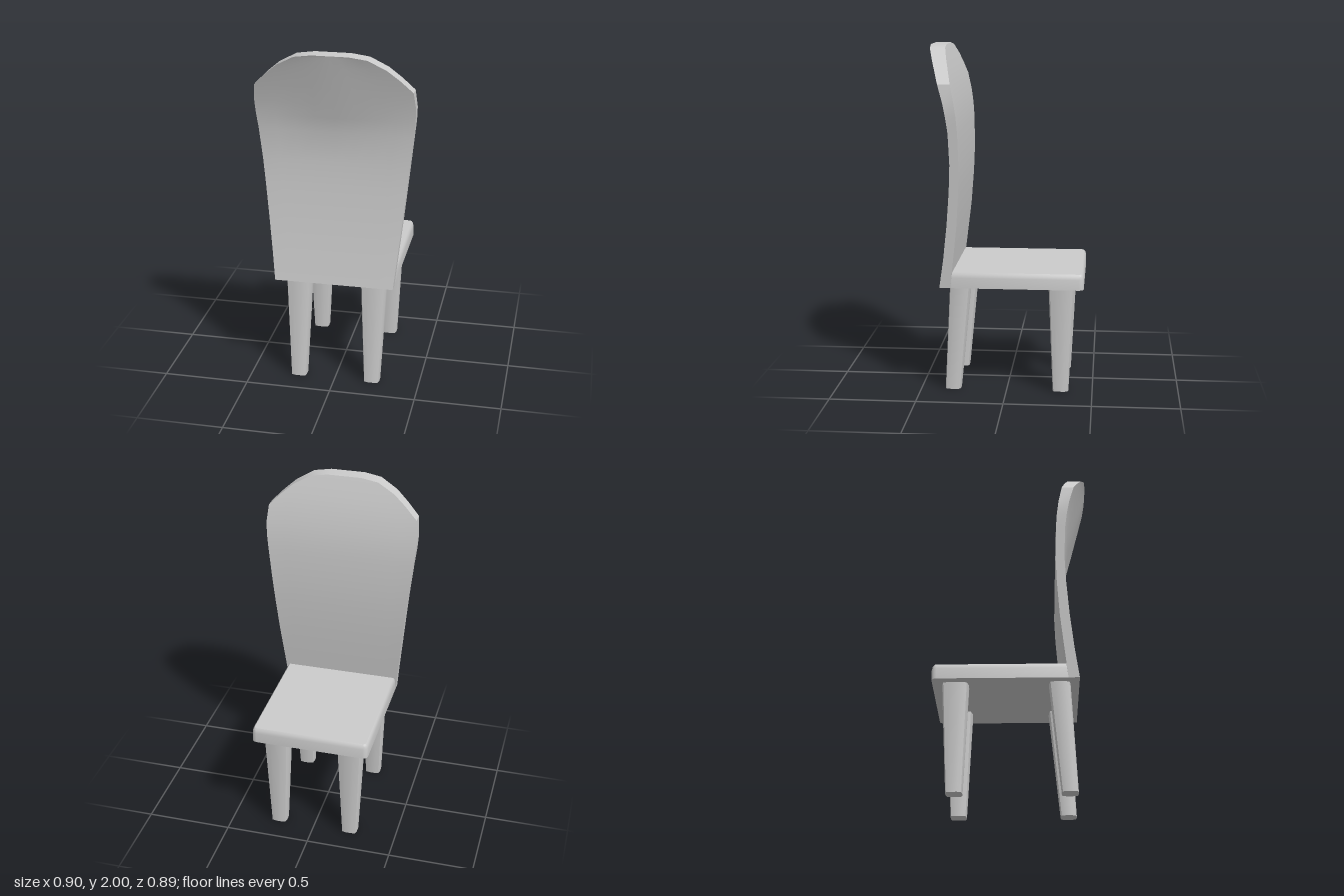
import * as THREE from 'three';
import { toCreasedNormals } from 'three/addons/utils/BufferGeometryUtils.js';

const material = new THREE.MeshStandardMaterial({ color: 0xcccccc });

// Skin a stack of rings [y, [[x, z], ...]] (listed bottom to top) and cap both ends.
function loft(name, rings, crease = 0.6) {
  const pos = [], idx = [], n = rings[0][1].length;
  for (const [y, pts] of rings) for (const [x, z] of pts) pos.push(x, y, z);
  for (let r = 0; r < rings.length - 1; r++) {
    for (let i = 0; i < n; i++) {
      const a = r * n + i, b = r * n + (i + 1) % n;
      idx.push(a, a + n, b, b, a + n, b + n);
    }
  }
  for (const r of [0, rings.length - 1]) {
    const [y, pts] = rings[r], c = pos.length / 3;
    const mean = k => pts.reduce((s, p) => s + p[k], 0) / n;
    pos.push(mean(0), y, mean(1));
    for (let i = 0; i < n; i++) {
      const a = r * n + i, b = r * n + (i + 1) % n;
      if (r) idx.push(c, b, a);
      else idx.push(c, a, b);
    }
  }
  const geo = new THREE.BufferGeometry();
  geo.setAttribute('position', new THREE.Float32BufferAttribute(pos, 3));
  geo.setIndex(idx);
  const mesh = new THREE.Mesh(toCreasedNormals(geo, crease), material);
  mesh.name = name;
  return mesh;
}

// Rectangle with rounded corners
function roundedRect(x0, x1, z0, z1, r) {
  const pts = [];
  const corners = [[x1 - r, z1 - r], [x0 + r, z1 - r], [x0 + r, z0 + r], [x1 - r, z0 + r]];
  corners.forEach(([cx, cz], q) => {
    for (let s = 0; s <= 3; s++) {
      const t = (q + s / 3) * Math.PI / 2;
      pts.push([cx + r * Math.cos(t), cz + r * Math.sin(t)]);
    }
  });
  return pts;
}

// Square with gently bulging sides and crisp corners
function bulgedSquare(cx, cz, hx, hz) {
  const pts = [];
  for (let q = 0; q < 4; q++) {
    const c = Math.round(Math.cos(q * Math.PI / 2)), s = Math.round(Math.sin(q * Math.PI / 2));
    for (const [u, v] of [[1, -0.4], [1, 0.4], [0.88, 0.88]]) {
      pts.push([cx + (u * c - v * s) * hx, cz + (u * s + v * c) * hz]);
    }
  }
  return pts;
}

// Backrest rows: height, half width, inner z, outer z
const backRows = [
  [0.63, 0.345, 0.315, 0.378], [0.8, 0.362, 0.295, 0.352], [1.0, 0.383, 0.272, 0.328],
  [1.2, 0.403, 0.258, 0.311], [1.35, 0.418, 0.253, 0.304], [1.53, 0.437, 0.257, 0.31],
  [1.62, 0.447, 0.264, 0.322], [1.7, 0.451, 0.275, 0.337], [1.8, 0.44, 0.295, 0.365],
  [1.87, 0.37, 0.314, 0.39], [1.93, 0.3, 0.332, 0.413], [1.985, 0.2, 0.35, 0.437],
  [2.0, 0.1, 0.355, 0.445],
];

function backRing([y, w, zIn, zOut]) {
  const pts = [], cols = 8;
  // The outer face runs straight up the middle above y = 1.53
  const chord = y > 1.53 ? 0.31 + (y - 1.53) * 0.135 / 0.47 : zOut;
  const bulge = Math.max(0, chord - zOut);
  for (let i = 0; i <= cols; i++) {
    const t = 1 - 2 * i / cols;
    pts.push([w * t, zOut + bulge * (1 - Math.abs(t))]);
  }
  for (let i = 0; i <= cols; i++) pts.push([w * (2 * i / cols - 1), zIn]);
  return [y, pts];
}

export function createModel() {
  const chair = new THREE.Group();
  chair.name = 'chair';

  chair.add(loft('backrest', backRows.map(backRing)));

  // Seat slab with a softened upper edge
  const seatSteps = [[0.63, 0], [0.69, 0], [0.71, 0.005], [0.72, 0.013]];
  chair.add(loft('seat', seatSteps.map(([y, d]) =>
    [y, roundedRect(-0.345 + d, 0.345 - d, -0.446 + d, 0.335, 0.028 - d)])));

  // Tapered legs; the rear pair rakes outward
  for (const side of [1, -1]) {
    const label = side > 0 ? 'left' : 'right';
    chair.add(loft(label + 'LegAtSeatEdge', [
      [0, bulgedSquare(side * 0.22, -0.315, 0.046, 0.046)],
      [0.635, bulgedSquare(side * 0.22, -0.317, 0.075, 0.075)],
    ]));
    chair.add(loft(label + 'LegUnderBackrest', [
      [0, bulgedSquare(side * 0.22, 0.315, 0.046, 0.046)],
      [0.635, bulgedSquare(side * 0.22, 0.268, 0.075, 0.06)],
    ]));
  }
  return chair;
}
